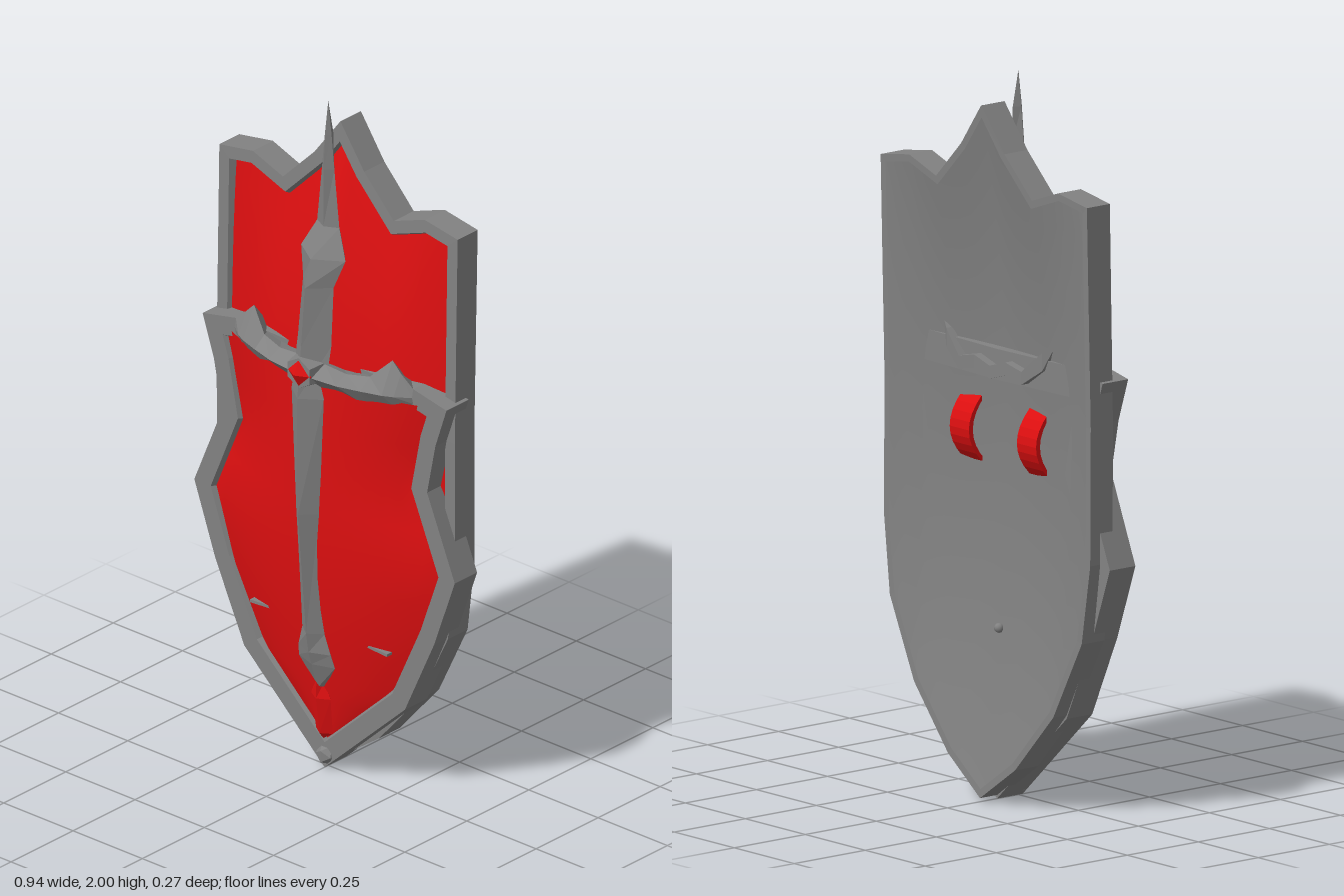
import * as THREE from 'three';

const steel = new THREE.MeshStandardMaterial({ color: 0x828282 });
steel.name = 'steel grey';
const red = new THREE.MeshStandardMaterial({ color: 0xdd0f10 });
red.name = 'heraldic red';

function mesh(name, geometry, material, x = 0, y = 0, z = 0) {
  const m = new THREE.Mesh(geometry, material);
  m.name = name;
  m.position.set(x, y, z);
  return m;
}

// Faceted skin joining successive closed loops of [x, y, z] points
function loft(loops) {
  const pos = [];
  for (let i = 0; i < loops.length - 1; i++) {
    const n = loops[i].length;
    for (let j = 0; j < n; j++) {
      const k = (j + 1) % n;
      const a = loops[i][j], b = loops[i][k], c = loops[i + 1][k], d = loops[i + 1][j];
      pos.push(...a, ...b, ...c, ...a, ...c, ...d);
    }
  }
  const g = new THREE.BufferGeometry();
  g.setAttribute('position', new THREE.Float32BufferAttribute(pos, 3));
  g.computeVertexNormals();
  return g;
}

// Smooth surface over a grid of parameters, facing front or back
function patch(us, vs, point, back = false) {
  const pos = [], index = [], n = vs.length;
  us.forEach((u) => vs.forEach((v) => pos.push(...point(u, v))));
  for (let i = 0; i < us.length - 1; i++) {
    for (let j = 0; j < n - 1; j++) {
      const a = i * n + j, b = a + n, c = b + 1, d = a + 1;
      if (back) index.push(a, c, b, a, d, c);
      else index.push(a, b, c, a, c, d);
    }
  }
  const g = new THREE.BufferGeometry();
  g.setAttribute('position', new THREE.Float32BufferAttribute(pos, 3));
  g.setIndex(index);
  g.computeVertexNormals();
  return g;
}

const steps = (n, from, to) => Array.from({ length: n + 1 }, (_, i) => from + (to - from) * i / n);

// Linear interpolation in a table of [key, value]
function lookup(table, k) {
  for (let i = 1; i < table.length; i++) {
    const [k0, a] = table[i - 1], [k1, b] = table[i];
    if (k <= k1 + 1e-6) return a + (b - a) * (k - k0) / (k1 - k0);
  }
  return table[table.length - 1][1];
}

// Right half outline, bottom to top, mirrored into a closed counter-clockwise loop
const mirrorOutline = (half) => [...half, ...half.slice(1, -1).reverse().map(([x, y]) => [-x, y])];

function inset(pts, d) {
  const n = pts.length;
  const normal = (p, q) => {
    const l = Math.hypot(q[0] - p[0], q[1] - p[1]);
    return [-(q[1] - p[1]) / l, (q[0] - p[0]) / l];
  };
  return pts.map((p, i) => {
    const a = normal(pts[(i + n - 1) % n], p), b = normal(p, pts[(i + 1) % n]);
    const s = d / (1 + a[0] * b[0] + a[1] * b[1]);
    return [p[0] + s * (a[0] + b[0]), p[1] + s * (a[1] + b[1])];
  });
}

const atDepth = (pts, z) => pts.map(([x, y]) => [x, y, typeof z === 'function' ? z(y) : z]);

// Ridged bar along y: sections of [y, half width, ridge z, edge z]
const ridgedBar = (sections) => loft(sections.map(([y, w, zr, ze]) =>
  [[0, y, zr], [w, y, ze], [0, y, ze - (w > 0 ? Math.max(0.02, w) : 0)], [-w, y, ze]]));

export function createModel() {
  const group = new THREE.Group();
  group.name = 'shield';

  // Main shield body: outline, rim and the two dished faces
  const W = 0.43;
  const lower = [[0, 0.01], [0.14, 0.11], [0.29, 0.28], [0.4, 0.5], [W, 0.72]];
  const upper = [[0, 1.92], [0.09, 1.8], [0.2, 1.69], [0.31, 1.73], [W, 1.71]];
  const bow = (y) => ((y - 1) / 0.95) ** 2;
  const frontZ = (y) => -0.03 - 0.02 * bow(y);
  const backZ = (y) => -0.108 - 0.025 * bow(y);
  const outline = mirrorOutline([...lower, [W, 1.1], ...upper.slice().reverse()]);
  group.add(mesh('rim', loft([
    atDepth(inset(outline, 0.02), backZ),
    atDepth(outline, backZ),
    atDepth(outline, frontZ),
    atDepth(inset(outline, 0.036), frontZ),
    atDepth(inset(outline, 0.05), (y) => frontZ(y) - 0.03),
  ]), steel));

  const halfColumns = [0.045, 0.09, 0.14, 0.2, 0.25, 0.29, 0.31, 0.36, 0.4, W];
  const columns = [...halfColumns.slice().reverse().map((x) => -x), 0, ...halfColumns];
  const bodyY = (x, v) => THREE.MathUtils.lerp(lookup(lower, Math.abs(x)), lookup(upper, Math.abs(x)), v);
  group.add(mesh('backPlate', patch(columns, steps(16, 0, 1), (x, v) => {
    const y = bodyY(x, v);
    return [x, y, backZ(y) + 0.07 * (1 - (x / W) ** 2) * 4 * v * (1 - v)];
  }, true), steel));
  group.add(mesh('frontPanel', patch(columns, steps(16, 0, 1), (x, v) => {
    const y = 1 + (bodyY(x, v) - 1) * 0.95;
    return [x * 0.95, y, frontZ(y) - 0.02 + 0.115 * (1 - Math.abs(x) / W) * 4 * v * (1 - v)];
  }), red));

  // Raised lower frame with its own bulging panel
  const frame = mirrorOutline([[0, 0], [0.29, 0.27], [0.395, 0.5], [0.47, 0.71], [0.37, 0.95],
    [0.4, 1.1], [0.44, 1.22], [0.32, 1.245], [0, 1.24]]);
  group.add(mesh('lowerFrame', loft([
    atDepth(inset(frame, 0.085), -0.075),
    atDepth(frame, -0.075),
    atDepth(frame, 0.015),
    atDepth(inset(frame, 0.055), 0.015),
    atDepth(inset(frame, 0.07), -0.01),
  ]), steel));

  const widths = [[0.07, 0], [0.28, 0.22], [0.5, 0.345], [0.71, 0.405], [0.94, 0.31], [1.2, 0.37]];
  const rows = [0.07, 0.14, 0.21, 0.28, 0.39, 0.5, 0.6, 0.71, 0.82, 0.94, 1.07, 1.2];
  const lowerZ = (u, y) =>
    0.085 * (1 - u * u) * Math.sin(Math.min(1, (y - 0.07) * 1.42) * Math.PI / 2);
  group.add(mesh('lowerPanel', patch(steps(16, -1, 1), rows, (u, y) =>
    [u * lookup(widths, y), y, lowerZ(u, y)]), red));

  // Sword-like upright ending in a tall spike
  group.add(mesh('uprightBlade', ridgedBar([
    [0.25, 0.015, 0.042, 0.03], [0.33, 0.065, 0.068, 0.046], [0.37, 0.058, 0.08, 0.055],
    [0.43, 0.04, 0.09, 0.06], [0.8, 0.042, 0.123, 0.083], [1.15, 0.058, 0.125, 0.083],
    [1.3, 0.06, 0.11, 0.055], [1.47, 0.055, 0.095, 0.04], [1.55, 0.08, 0.072, 0.02],
    [1.63, 0.04, 0.02, 0], [1.8, 0.022, 0.02, 0], [1.9, 0.012, 0.012, 0], [2, 0, 0, 0],
  ]), steel));
  group.add(mesh('lowerJewel', ridgedBar([
    [0.09, 0, 0.02, 0.01], [0.11, 0.03, 0.035, 0.015], [0.22, 0.035, 0.05, 0.03], [0.27, 0.015, 0.048, 0.03],
  ]), red));

  // Flared crossbar: [x, low y, high y, ridge z, edge z]
  const arm = [[0.05, 1.17, 1.25, 0.113, 0.07], [0.12, 1.175, 1.24, 0.105, 0.06],
    [0.19, 1.155, 1.25, 0.085, 0.045], [0.25, 1.15, 1.31, 0.065, 0.02],
    [0.28, 1.165, 1.28, 0.05, 0.02], [0.32, 1.2, 1.245, 0.02, 0.015]];
  const bar = [...arm.slice().reverse().map(([x, ...r]) => [-x, ...r]), ...arm];
  group.add(mesh('crossbar', loft(bar.map(([x, lo, hi, zr, ze]) =>
    [[x, 1.22, zr], [x, lo, ze], [x, 1.22, ze - 0.07], [x, hi, ze]])), steel));

  // Centre jewel in a six-sided setting
  const setting = new THREE.CylinderGeometry(0.045, 0.056, 0.05, 6).toNonIndexed();
  setting.computeVertexNormals();
  setting.rotateX(Math.PI / 2);
  group.add(mesh('jewelSetting', setting, steel, 0, 1.225, 0.095));
  const jewel = new THREE.OctahedronGeometry(0.044);
  jewel.scale(1, 1, 0.5);
  group.add(mesh('centreJewel', jewel, red, 0, 1.225, 0.117));

  // Bottom knob and small studs
  group.add(mesh('bottomKnob', new THREE.IcosahedronGeometry(0.032, 0), steel, 0, 0.038, 0.005));
  group.add(mesh('backStud', new THREE.IcosahedronGeometry(0.014, 1), steel, 0, 0.47, -0.068));
  for (const s of [-1, 1]) {
    const pin = mesh('frontPin', new THREE.BoxGeometry(0.075, 0.008, 0.02), steel, s * 0.21, 0.43, 0.03);
    pin.rotation.z = -s * 0.06;
    group.add(pin);
  }

  // Wavy hand grip on the back: [x, y, z, half height]
  const grip = [[0.225, 1.275, -0.07, 0.004], [0.2, 1.24, -0.085, 0.025], [0.13, 1.185, -0.1, 0.018],
    [0.065, 1.2, -0.102, 0.018]];
  const gripPath = [...grip.map(([x, ...r]) => [-x, ...r]), [0, 1.18, -0.102, 0.018], ...grip.slice().reverse()];
  group.add(mesh('handGrip', loft(gripPath.map(([x, y, z, h]) =>
    [[x, y + h, z + 0.025], [x, y - h, z + 0.025], [x, y - h, z], [x, y + h, z]])), steel));

  // Curved arm straps
  for (const s of [-1, 1]) {
    const sections = steps(8, -1, 1).map((t) => {
      const y = 1 + t * 0.09, z = -0.09 + 0.045 * t * t, w = 0.04;
      return [[-w, y, z + 0.014], [w, y, z + 0.014], [w, y, z], [-w, y, z]];
    });
    group.add(mesh('armStrap', loft(sections), red, s * 0.14, 0, 0));
  }
  return group;
}
